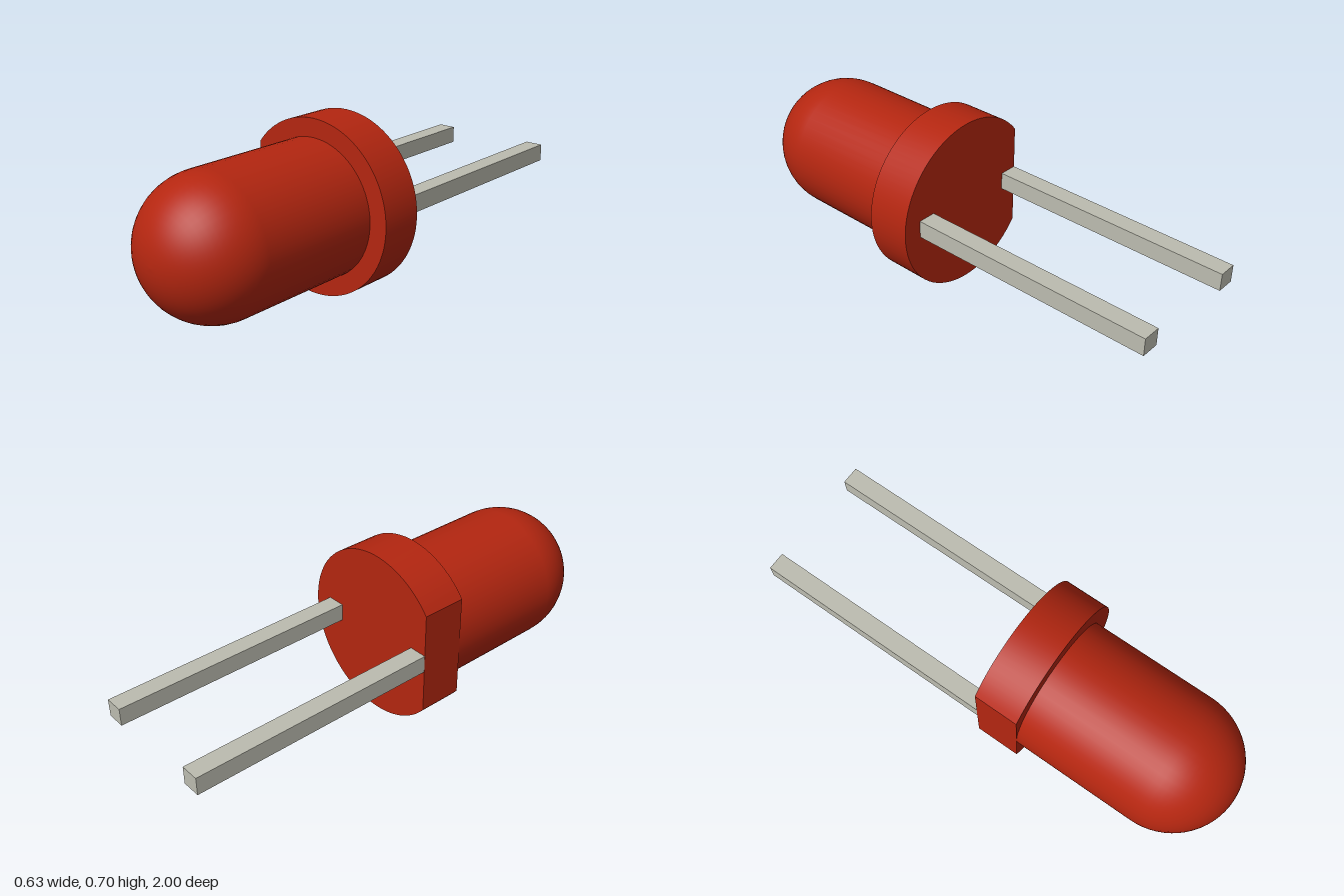
import * as THREE from 'three';
import { toCreasedNormals } from 'three/addons/utils/BufferGeometryUtils.js';

const CX = -0.037, CY = 0.352;      // axis of the round body
const BACK = 0.02, FRONT = 0.205;   // flange extent along z

export function createModel() {
  const model = new THREE.Group();
  model.name = 'indicatorLamp';

  const red = new THREE.MeshStandardMaterial({ color: 0xb42610 });
  red.name = 'red plastic';
  const metal = new THREE.MeshStandardMaterial({ color: 0xbcbcb0 });
  metal.name = 'grey metal';

  const add = (name, geometry, material, x, y, z) => {
    const mesh = new THREE.Mesh(geometry, material);
    mesh.name = name;
    mesh.position.set(x, y, z);
    model.add(mesh);
  };

  // Flange: a disc with one flat side
  const radius = 0.351;
  const half = Math.acos(-0.278 / radius);
  const outline = new THREE.Shape();
  outline.absarc(0, 0, radius, -half, half, false);
  outline.closePath();
  const flange = new THREE.ExtrudeGeometry(outline, {
    depth: FRONT - BACK, bevelEnabled: false, curveSegments: 32,
  });
  add('flange', toCreasedNormals(flange, 0.4), red, CX, CY, BACK);

  // Lens: straight barrel running into a hemispherical dome
  const r = 0.277;
  const profile = [new THREE.Vector2(r, FRONT)];
  const steps = 16;
  for (let i = 0; i <= steps; i++) {
    const a = (i / steps) * Math.PI / 2;
    profile.push(new THREE.Vector2(i === steps ? 0 : r * Math.cos(a), 1 - r + r * Math.sin(a)));
  }
  const lens = new THREE.LatheGeometry(profile, 48);
  lens.rotateX(Math.PI / 2);
  add('lens', lens, red, CX, CY, 0);

  // Two square leads out of the back
  const length = 1 + BACK;
  for (const [name, x] of [['rightLead', -0.277], ['leftLead', 0.197]]) {
    add(name, new THREE.BoxGeometry(0.075, 0.072, length), metal, x, 0.355, -1 + length / 2);
  }

  return model;
}
